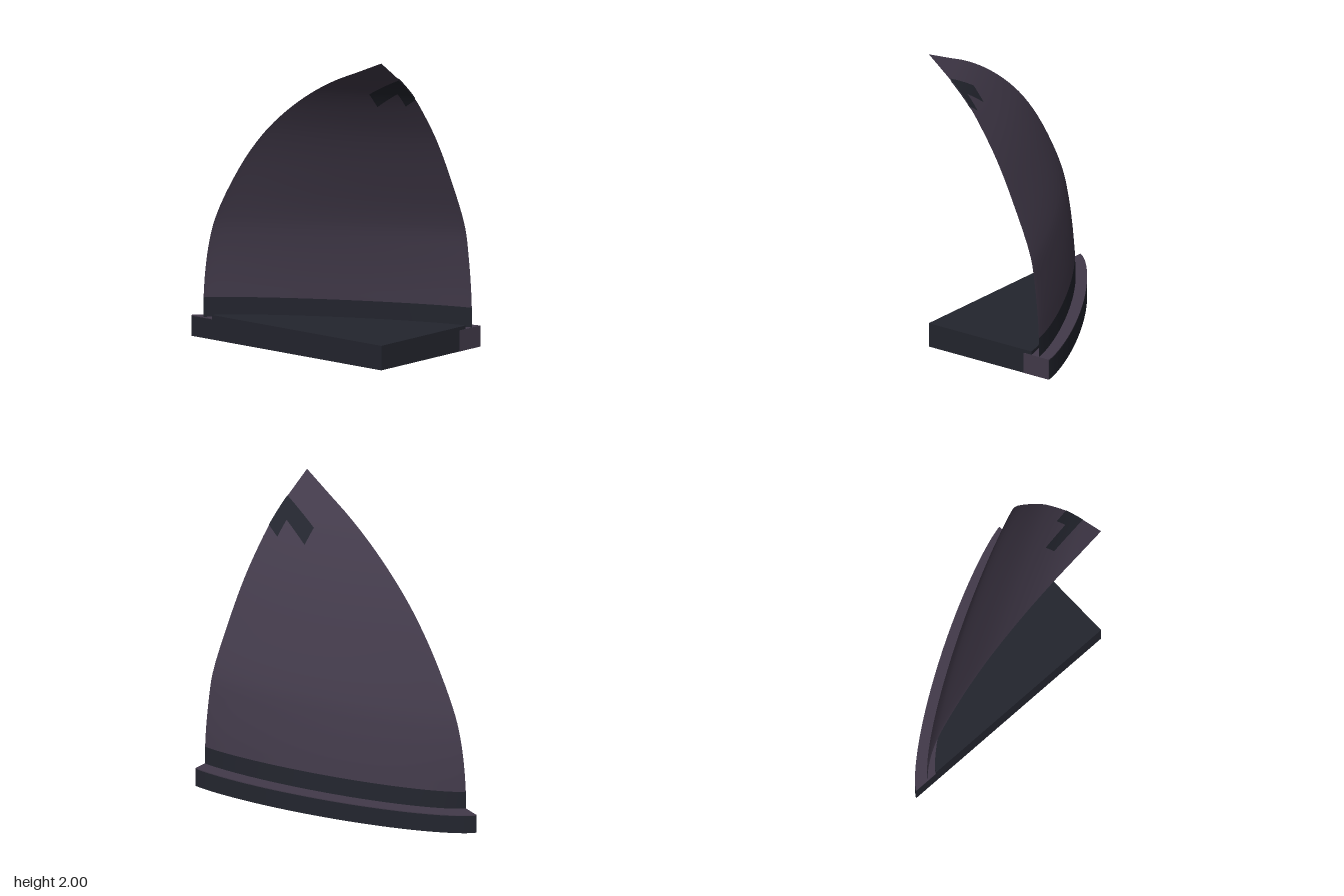
import * as THREE from 'three';

const plum = new THREE.MeshStandardMaterial({ color: 0x423a4a, side: THREE.DoubleSide });
plum.name = 'plum';
const slate = new THREE.MeshStandardMaterial({ color: 0x23252e, side: THREE.DoubleSide });
slate.name = 'slate';

// The quarter's square corner; u runs along +x from it and v along -z.
const CX = -0.48, CZ = 0.8;
const BASE_POWER = 1.22;

// Quarter superellipse point: f from 0 (on the front edge) to 1 (on the side edge)
function arcPoint(U, V, power, f) {
  const a = f * Math.PI / 2;
  return [U * Math.max(0, Math.cos(a)) ** (2 / power), V * Math.max(0, Math.sin(a)) ** (2 / power)];
}

function arc(U, V, n = 32) {
  return Array.from({ length: n + 1 }, (_, i) => {
    const [u, v] = arcPoint(U, V, BASE_POWER, i / n);
    return new THREE.Vector2(CX + u, v - CZ);
  });
}

// Flat plan shape raised from y0 to y1
function raised(points, y0, y1) {
  const g = new THREE.ExtrudeGeometry(new THREE.Shape(points), { depth: y1 - y0, bevelEnabled: false });
  return g.rotateX(-Math.PI / 2).translate(0, y0, 0);
}

// Smooth sheet from a grid of points
function sheet(rows, cols, pointAt) {
  const pos = [], index = [];
  for (let r = 0; r <= rows; r++) {
    for (let c = 0; c <= cols; c++) {
      pos.push(...pointAt(r / rows, c / cols));
      if (r < rows && c < cols) {
        const a = r * (cols + 1) + c, b = a + cols + 1;
        index.push(a, b, a + 1, b, b + 1, a + 1);
      }
    }
  }
  const g = new THREE.BufferGeometry();
  g.setAttribute('position', new THREE.Float32BufferAttribute(pos, 3));
  g.setIndex(index);
  g.computeVertexNormals();
  return g;
}

// Dome profile: reach along u, height, reach along v
const profile = new THREE.CatmullRomCurve3([
  [0, 2, 0], [0.11, 1.915, 0.2], [0.215, 1.83, 0.4], [0.325, 1.72, 0.6], [0.43, 1.58, 0.8],
  [0.545, 1.4, 1.0], [0.67, 1.15, 1.2], [0.815, 0.8, 1.4], [0.85, 0.6, 1.46],
  [0.872, 0.4, 1.49], [0.88, 0.265, 1.5],
].map(p => new THREE.Vector3(...p)));

// Plan curve is straighter near the tip and rounder near the foot
const powerAt = y => 1 + (BASE_POWER - 1) * (1 - Math.min(1, y / 1.7));

function domePoint(t, f) {
  const p = profile.getPoint(t);
  const [u, v] = arcPoint(p.x, p.z, powerAt(p.y), f);
  return [CX + u, p.y, CZ - v];
}

// Height of the dome above a plan position
function domeHeight(x, z) {
  const u = x - CX, v = CZ - z;
  let lo = 0.0001, hi = 1;
  for (let i = 0; i < 40; i++) {
    const t = (lo + hi) / 2, p = profile.getPoint(t), k = powerAt(p.y);
    if ((u / p.x) ** k + (v / p.z) ** k > 1) lo = t; else hi = t;
  }
  return profile.getPoint(lo).y;
}

export function createModel() {
  const model = new THREE.Group();
  const add = (name, geometry, material, parent = model) => {
    const mesh = new THREE.Mesh(geometry, material);
    mesh.name = name;
    parent.add(mesh);
    return mesh;
  };

  // Base: footing, raised floor, and the ledge around the curved side
  const corner = new THREE.Vector2(CX, -CZ);
  add('footing', raised([corner, ...arc(0.96, 1.6)], 0, 0.131), slate);
  add('floorSlab', raised([corner, ...arc(0.82, 1.43)], 0.131, 0.16), slate);
  add('ledgeTop', raised([...arc(0.96, 1.6), ...arc(0.82, 1.43).reverse()], 0.131, 0.137), plum);
  const cap = new THREE.BoxGeometry(0.2, 0.137, 0.004).translate(0.38, 0.0685, CZ);
  add('ledgeEndCap', cap, plum);

  // Curved shell and the dark band around its foot
  add('domeShell', sheet(40, 32, domePoint), plum);
  add('footBand', sheet(2, 32, (r, f) => {
    const y = 0.265 - r * 0.135;
    const [u, v] = arcPoint(0.88, 1.5, powerAt(y), f);
    return [CX + u, y, CZ - v];
  }), slate);

  // L-shaped mark near the tip, on both faces of the shell
  const mark = new THREE.Group();
  mark.name = 'tipMark';
  model.add(mark);
  for (const lift of [0.006, -0.006]) {
    for (const [x0, x1, z0, z1] of [[-0.31, -0.23, 0.55, 0.8], [-0.23, -0.15, 0.72, 0.8]]) {
      add(lift > 0 ? 'outerMark' : 'innerMark', sheet(8, 8, (a, b) => {
        const x = x0 + a * (x1 - x0), z = z0 + b * (z1 - z0);
        return [x, domeHeight(x, z) + lift, z];
      }), slate, mark);
    }
  }
  return model;
}
